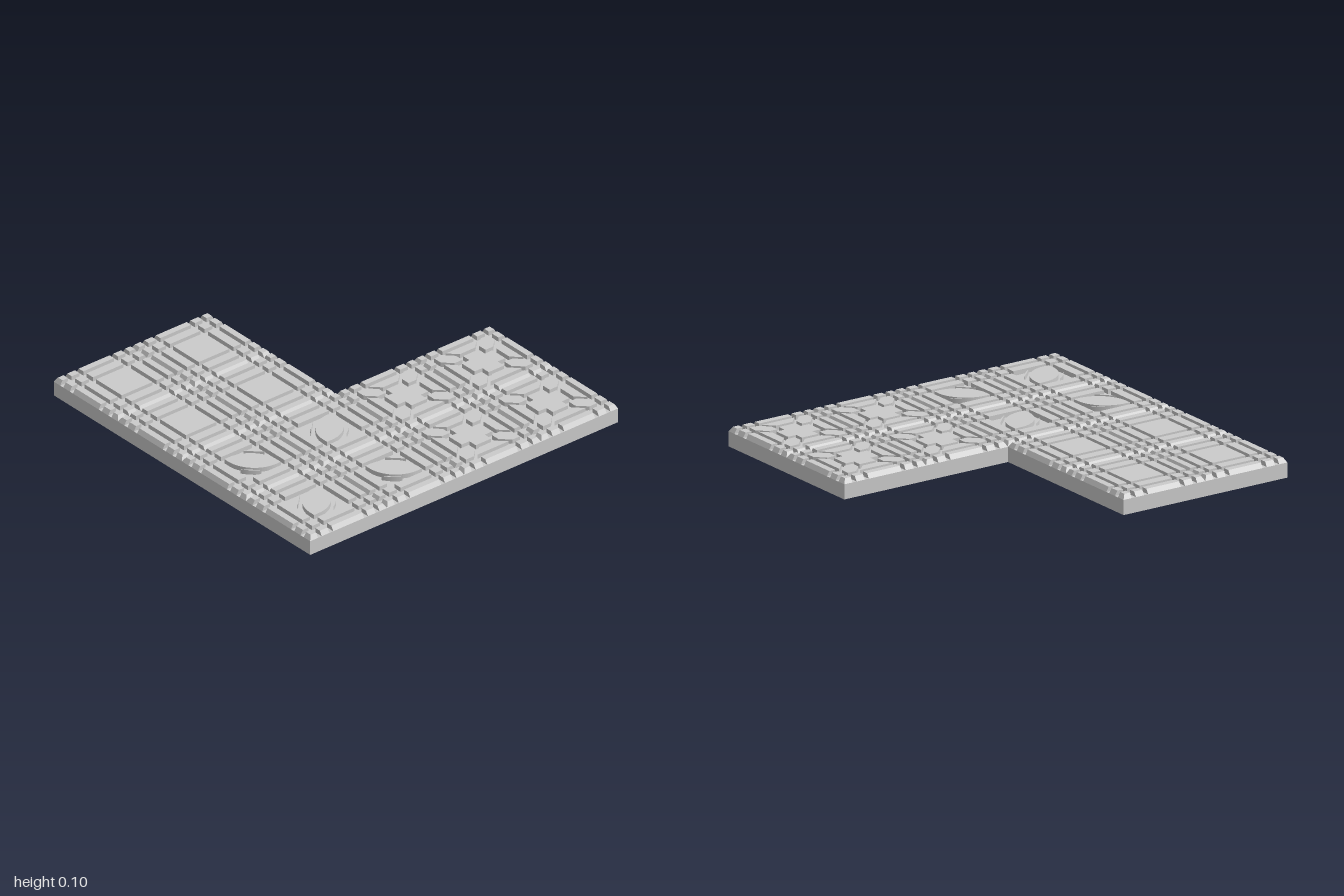
import * as THREE from 'three';
import { mergeGeometries } from 'three/addons/utils/BufferGeometryUtils.js';

const TILE = 0.5, FLOOR = 0.08, TOP = 0.105, BEVEL = 0.015;
// raised bands across one tile; the gaps between them are the grooves
const BANDS = [[0, 0.05], [0.075, 0.125], [0.15, 0.35], [0.375, 0.425], [0.45, 0.5]];

// raised rectangle; sides on the tile border slope inward at the top
function block([x0, x1], [z0, z1]) {
  const g = new THREE.BoxGeometry(x1 - x0, TOP - FLOOR, z1 - z0);
  g.translate((x0 + x1) / 2, (TOP + FLOOR) / 2, (z0 + z1) / 2);
  const p = g.attributes.position;
  const inset = (v) => Math.min(Math.max(v, BEVEL), TILE - BEVEL);
  for (let i = 0; i < p.count; i++) {
    if (p.getY(i) > (TOP + FLOOR) / 2) {
      p.setX(i, inset(p.getX(i)));
      p.setZ(i, inset(p.getZ(i)));
    }
  }
  g.computeVertexNormals();
  return g.toNonIndexed();
}

// flat shape in (x, z) raised from y0 to y1
function raise(shape, y0 = FLOOR, y1 = TOP) {
  const g = new THREE.ExtrudeGeometry(shape, { depth: y1 - y0, bevelEnabled: false, curveSegments: 10 });
  g.rotateX(Math.PI / 2);
  g.translate(0, y1, 0);
  return g;
}

const polygon = (pts) => new THREE.Shape(pts.map(([x, z]) => new THREE.Vector2(x, z)));

// quarter-turn copies about the tile centre
function spin(geometry, turns) {
  return turns.map((k) => geometry.clone()
    .translate(-TILE / 2, 0, -TILE / 2)
    .rotateY(k * Math.PI / 2)
    .translate(TILE / 2, 0, TILE / 2));
}

// grid blocks accepted by the filter
function bandBlocks(keep) {
  const out = [];
  BANDS.forEach((bx, i) => BANDS.forEach((bz, j) => {
    if (keep(i, j)) out.push(block(bx, bz));
  }));
  return out;
}

const plainTile = () => bandBlocks(() => true);

// centre panel with two opposite corners rounded, and corner slivers beyond a curved groove
function leafTile(turn) {
  const a = 0.15, b = 0.35, r = 0.17, R = r + 0.025;
  const leaf = new THREE.Shape();
  leaf.moveTo(a, b);
  leaf.lineTo(a, a + r);
  leaf.absarc(a + r, a + r, r, Math.PI, Math.PI * 1.5, false);
  leaf.lineTo(b, a);
  leaf.lineTo(b, b - r);
  leaf.absarc(b - r, b - r, r, 0, Math.PI / 2, false);
  leaf.closePath();

  const start = Math.PI + Math.acos(r / R);
  const sliver = new THREE.Shape();
  sliver.moveTo(a, a);
  sliver.absarc(a + r, a + r, R, Math.PI * 2.5 - start, start, true);
  sliver.closePath();

  const rim = bandBlocks((i, j) => i !== 2 || j !== 2);
  return [...rim, ...spin(raise(leaf), [turn]), ...spin(raise(sliver), [turn, turn + 2])];
}

// cross in the middle, hexagons toward the corners, trapezoids along the sides
function crossTile() {
  const rim = bandBlocks((i, j) => i % 4 === 0 || j % 4 === 0);
  const [a, b, c, d] = [0.15, 0.2, 0.3, 0.35];
  const cross = polygon([[b, a], [c, a], [c, b], [d, b], [d, c], [c, c],
    [c, d], [b, d], [b, c], [a, c], [a, b], [b, b]]);
  const hexagon = polygon([[0.075, 0.075], [0.125, 0.075], [0.175, 0.125],
    [0.175, 0.175], [0.125, 0.175], [0.075, 0.125]]);
  const trapezoid = polygon([[0.15, 0.075], [0.35, 0.075], [0.3, 0.125], [0.2, 0.125]]);
  const all = [0, 1, 2, 3];
  return [...rim, raise(cross), ...spin(raise(hexagon), all), ...spin(raise(trapezoid), all)];
}

export function createModel() {
  const group = new THREE.Group();
  group.name = 'cornerFloor';
  const material = new THREE.MeshStandardMaterial({ color: 0xcccccc, flatShading: true });

  const add = (name, geometry, x = 0, z = 0) => {
    const mesh = new THREE.Mesh(geometry, material);
    mesh.name = name;
    mesh.position.set(x, 0, z);
    group.add(mesh);
  };

  // L-shaped slab
  const outline = polygon([[-1, -1], [0, -1], [0, 0], [1, 0], [1, 1], [-1, 1]]);
  add('slab', raise(outline, 0, FLOOR));

  // three quarters of the floor, each two tiles by two
  const plain = mergeGeometries(plainTile());
  const cross = mergeGeometries(crossTile());
  const leaves = [mergeGeometries(leafTile(1)), mergeGeometries(leafTile(0))];
  for (let i = 0; i < 2; i++) {
    for (let j = 0; j < 2; j++) {
      const x = i * TILE, z = j * TILE;
      add('plainTile', plain, x - 1, z - 1);
      add('leafTile', leaves[(i + j) % 2], x - 1, z);
      add('crossTile', cross, x, z);
    }
  }
  return group;
}
